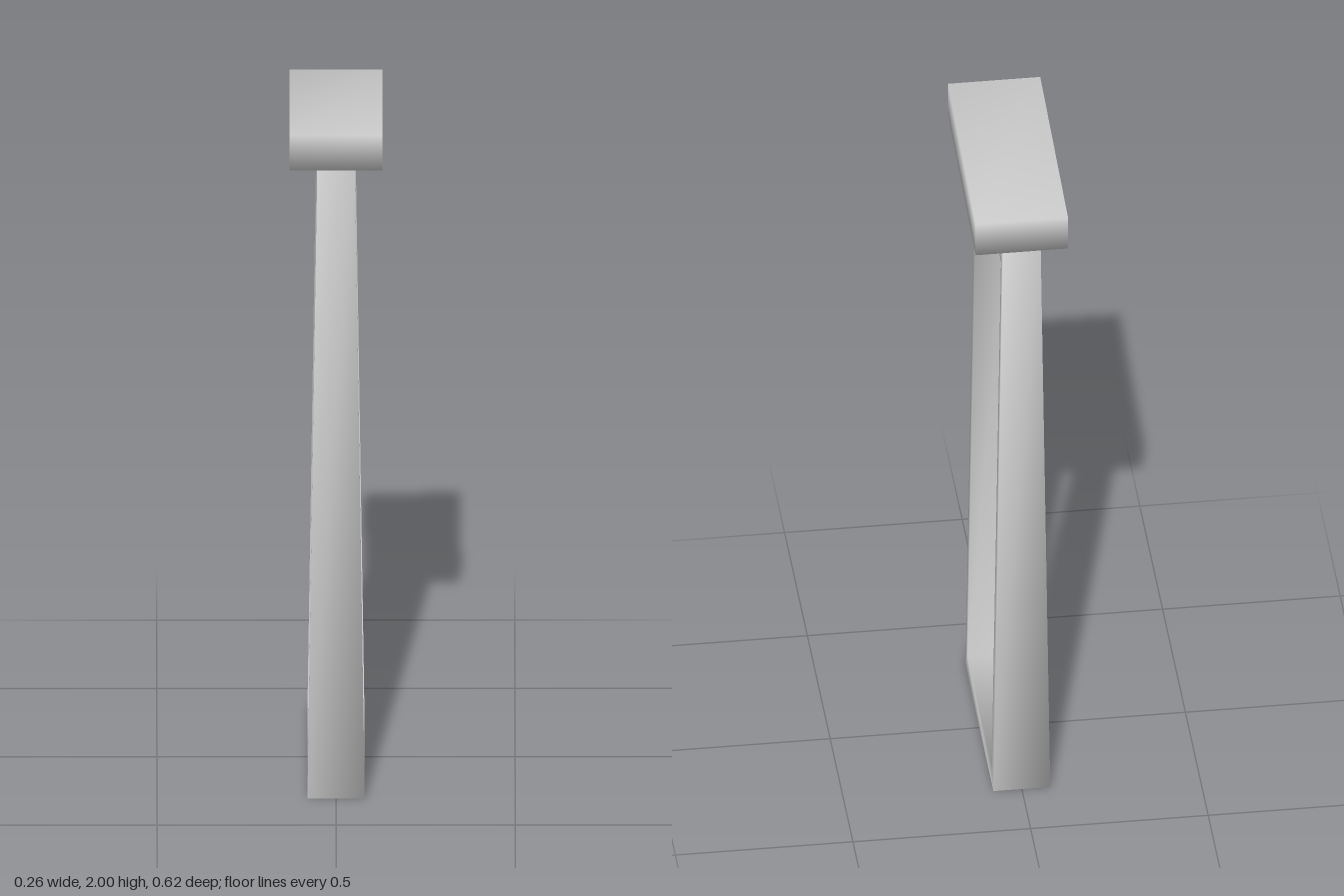
import * as THREE from 'three';
import { mergeVertices } from 'three/addons/utils/BufferGeometryUtils.js';

const SLOPE = 0.085; // the top falls towards the back

// Weld the corners so the shading runs smoothly round the edges
function soften(geometry) {
  geometry.deleteAttribute('uv');
  geometry.deleteAttribute('normal');
  geometry.clearGroups();
  const welded = mergeVertices(geometry, 1e-4);
  welded.computeVertexNormals();
  return welded;
}

function moveVertices(geometry, rule) {
  const p = geometry.attributes.position;
  const v = new THREE.Vector3();
  for (let i = 0; i < p.count; i++) {
    v.fromBufferAttribute(p, i);
    rule(v);
    p.setXYZ(i, v.x, v.y, v.z);
  }
  return geometry;
}

const points = (list) => list.map(([z, y]) => new THREE.Vector2(z, y));

export function createModel() {
  const group = new THREE.Group();
  const material = new THREE.MeshStandardMaterial({ color: 0xcccccc });
  const add = (name, geometry) => {
    const mesh = new THREE.Mesh(soften(geometry), material);
    mesh.name = name;
    group.add(mesh);
  };

  // Closed loop frame, drawn from the side, wider at the foot than at the top
  const side = new THREE.Shape(points([[0.306, 0], [0.3, 1.895], [-0.308, 1.843], [-0.308, 0]]));
  side.holes.push(new THREE.Path(points([[0.264, 0.058], [-0.262, 0.058], [-0.27, 1.785], [0.264, 1.838]])));
  const frame = new THREE.ExtrudeGeometry(side, { depth: 1, bevelEnabled: false });
  frame.translate(0, 0, -0.5).rotateY(-Math.PI / 2);
  moveVertices(frame, (v) => { v.x *= 2 * (0.08 - 0.0145 * v.y); });
  add('loopFrame', frame);

  // Sloping slab on top
  const slab = new THREE.BoxGeometry(0.26, 0.105, 0.61);
  moveVertices(slab, (v) => { v.y += v.z * SLOPE; });
  slab.translate(0, 1.9215, -0.005);
  add('topSlab', slab);

  return group;
}
